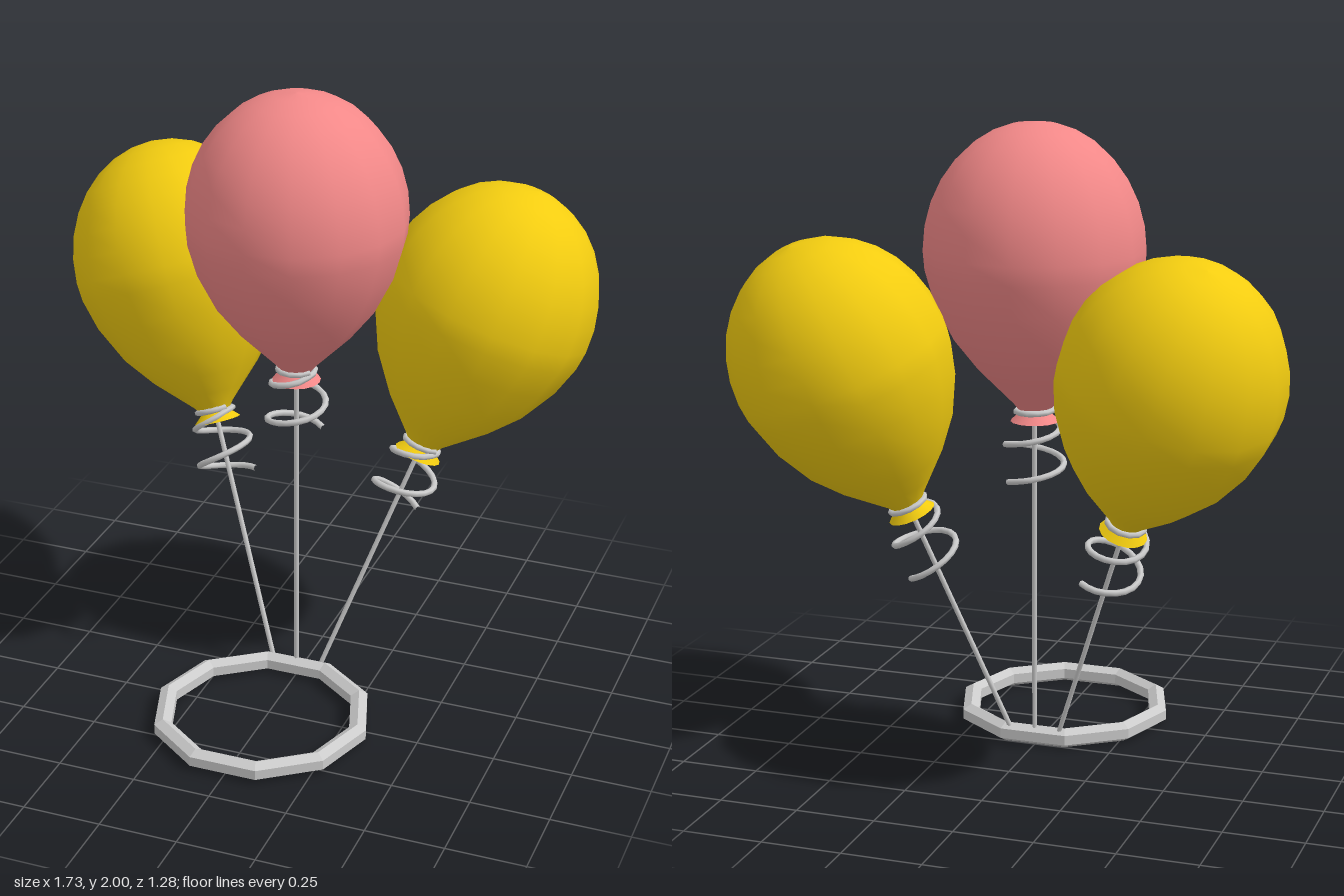
import * as THREE from 'three';

const grey = new THREE.MeshStandardMaterial({ color: 0xcccccc });
const greyFlat = new THREE.MeshStandardMaterial({ color: 0xcccccc, flatShading: true });
const pink = new THREE.MeshStandardMaterial({ color: 0xf28888, side: THREE.DoubleSide });
const yellow = new THREE.MeshStandardMaterial({ color: 0xf2cc10, side: THREE.DoubleSide });

const UP = new THREE.Vector3(0, 1, 0);

function add(parent, name, geometry, material) {
  const mesh = new THREE.Mesh(geometry, material);
  mesh.name = name;
  parent.add(mesh);
  return mesh;
}

// Egg-shaped body: tapered lower part, elliptical dome above. Origin at the neck.
function bodyGeometry() {
  const profile = [[0.045, 0], [0.065, 0.025], [0.11, 0.07], [0.175, 0.135], [0.25, 0.23],
    [0.31, 0.35], [0.338, 0.45]].map(([r, y]) => new THREE.Vector2(r, y));
  for (let i = 0; i <= 8; i++) {
    const a = (i / 8) * Math.PI / 2;
    profile.push(new THREE.Vector2(i === 8 ? 0 : 0.343 * Math.cos(a), 0.51 + 0.39 * Math.sin(a)));
  }
  return new THREE.LatheGeometry(profile, 15, Math.PI / 2);
}

// Flared lip under the knot
function lipGeometry() {
  const profile = [[0.076, -0.03], [0.06, -0.015], [0.045, 0]].map(([r, y]) => new THREE.Vector2(r, y));
  return new THREE.LatheGeometry(profile, 15, Math.PI / 2);
}

// Ribbon: one tight turn round the knot, then a loosening spiral hanging down
function curlGeometry() {
  const points = [];
  const steps = 34, end = 315, turns = 2.8;
  for (let i = 0; i <= steps; i++) {
    const left = turns * (1 - i / steps);
    const angle = THREE.MathUtils.degToRad(end - 360 * left);
    const y = left > 1.8 ? -0.001 + (left - 1.8) * 0.012 : -0.217 + left * 0.12;
    const r = left > 1.8 ? 0.058 : 0.058 + 0.034 * Math.min(1, (1.8 - left) / 0.6);
    points.push(new THREE.Vector3(r * Math.cos(angle), y, r * Math.sin(angle)));
  }
  return new THREE.TubeGeometry(new THREE.CatmullRomCurve3(points), 44, 0.01, 6);
}

// Balloon, ribbon and string, leaning along the line from its foot to its neck
function balloon(name, foot, neck, material) {
  const group = new THREE.Group();
  group.name = name;
  const direction = neck.clone().sub(foot);
  const length = direction.length();
  group.position.copy(neck);
  group.quaternion.setFromUnitVectors(UP, direction.normalize());
  add(group, 'balloonBody', bodyGeometry(), material);
  add(group, 'balloonLip', lipGeometry(), material);
  add(group, 'curledRibbon', curlGeometry(), grey);
  add(group, 'string', new THREE.CylinderGeometry(0.008, 0.008, length, 6), grey).position.y = -length / 2;
  return group;
}

export function createModel() {
  const model = new THREE.Group();
  model.name = 'balloonBunch';

  // Ten-sided base ring with a hexagonal section, ridge upward
  const R = 0.322, r = 0.032;
  const section = [];
  for (let i = 0; i <= 6; i++) {
    const a = -Math.PI / 2 + (i / 6) * Math.PI * 2;
    section.push(new THREE.Vector2(R + r * Math.cos(a), r * Math.sin(a)));
  }
  add(model, 'baseRing', new THREE.LatheGeometry(section, 10, Math.PI / 2), greyFlat)
    .position.set(0, r, 0.31);

  model.add(balloon('centreBalloon', new THREE.Vector3(0, 0.045, 0), new THREE.Vector3(0, 1.1, 0), pink));
  for (const [name, s] of [['leftBalloon', 1], ['rightBalloon', -1]]) {
    model.add(balloon(name, new THREE.Vector3(s * 0.08, 0.045, 0),
      new THREE.Vector3(s * 0.353, 0.815, -0.185), yellow));
  }
  return model;
}
